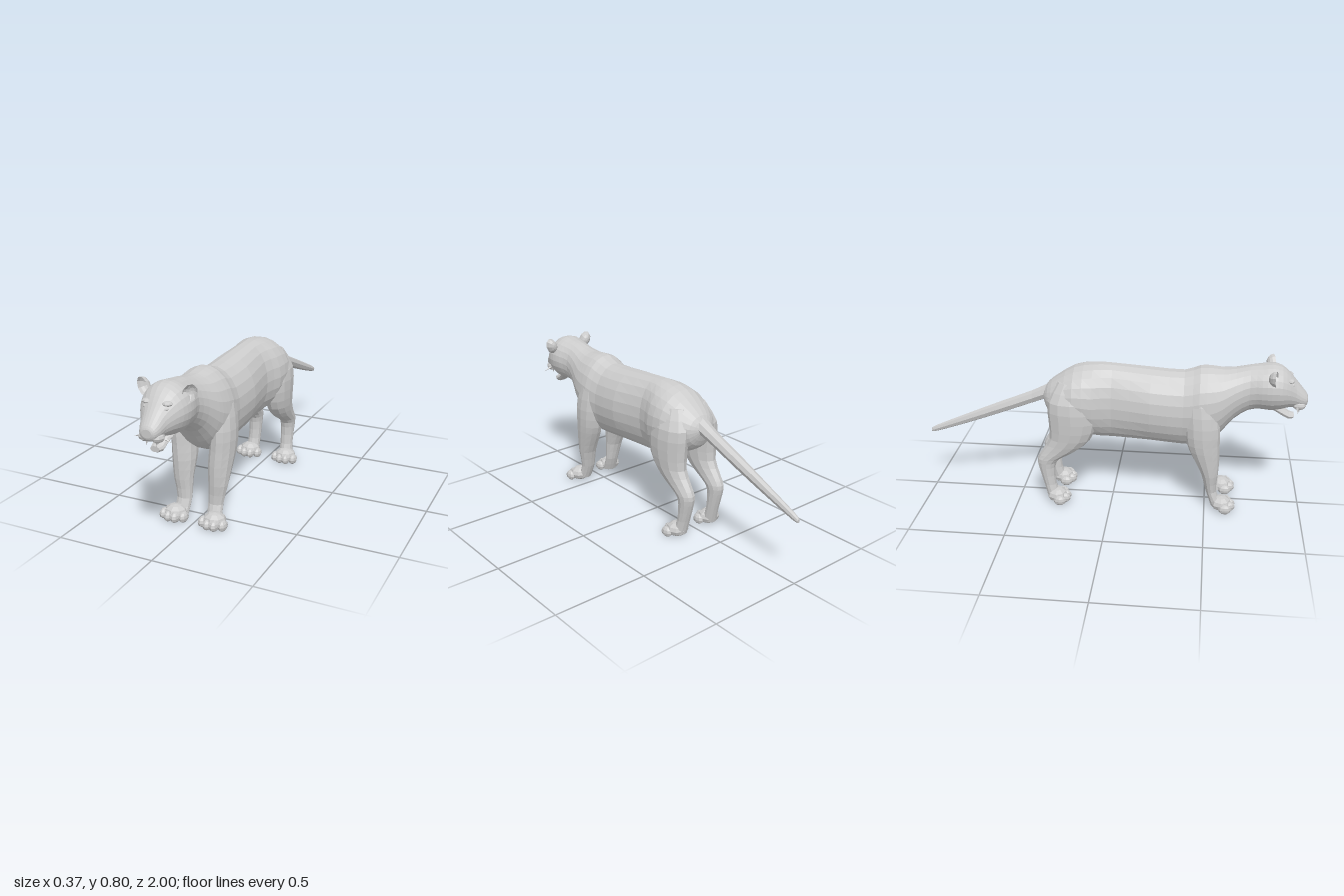
import * as THREE from 'three';

const material = new THREE.MeshStandardMaterial({ color: 0xcccccc, flatShading: true });
const thin = new THREE.MeshStandardMaterial({ color: 0xcccccc, flatShading: true, side: THREE.DoubleSide });

function mesh(name, geometry, mat = material) {
  const m = new THREE.Mesh(geometry, mat);
  m.name = name;
  return m;
}

// Closed skin over elliptical rings, listed in rising order along the axis.
// Each ring: [position, centre x, other centre, half-width x, other half-width]
function loft(rings, axis, sides, steps) {
  const centres = new THREE.CatmullRomCurve3(rings.map(r => new THREE.Vector3(r[0], r[1], r[2])), false, 'catmullrom', 0.5);
  const radii = new THREE.CatmullRomCurve3(rings.map(r => new THREE.Vector3(r[3], r[4], 0)), false, 'catmullrom', 0.5);
  const n = (rings.length - 1) * steps;
  const pos = [], index = [];
  const put = (p, x, v) => (axis === 'z' ? pos.push(x, v, p) : pos.push(x, p, v));
  const flip = axis === 'z' ? 1 : -1;
  for (let i = 0; i <= n; i++) {
    const c = centres.getPoint(i / n), r = radii.getPoint(i / n);
    for (let j = 0; j < sides; j++) {
      const a = (j / sides) * Math.PI * 2;
      put(c.x, c.y + r.x * Math.cos(a), c.z + flip * r.y * Math.sin(a));
    }
  }
  for (let i = 0; i < n; i++) {
    for (let j = 0; j < sides; j++) {
      const k = (j + 1) % sides;
      const a = i * sides + j, b = i * sides + k, c = a + sides, d = b + sides;
      index.push(a, b, d, a, d, c);
    }
  }
  // end caps
  const first = rings[0], last = rings[rings.length - 1], centre = (n + 1) * sides;
  put(first[0], first[1], first[2]);
  put(last[0], last[1], last[2]);
  for (let j = 0; j < sides; j++) {
    const k = (j + 1) % sides;
    index.push(centre, k, j, centre + 1, n * sides + j, n * sides + k);
  }
  const g = new THREE.BufferGeometry();
  g.setAttribute('position', new THREE.Float32BufferAttribute(pos, 3));
  g.setIndex(index);
  const flat = g.toNonIndexed();
  flat.computeVertexNormals();
  return flat;
}

// Faceted ellipsoid, optionally pressed flat on the ground
function blob(x, y, z, rx, ry, rz, grounded = false) {
  const g = new THREE.SphereGeometry(1, 8, 6).scale(rx, ry, rz).translate(x, y, z);
  if (grounded) {
    const p = g.attributes.position;
    for (let i = 0; i < p.count; i++) p.setY(i, Math.max(p.getY(i), 0.004));
    g.computeVertexNormals();
  }
  return g;
}

// Rump to nose: [z, top, bottom, half-width]
const BODY = [
  [-0.365, 0.61, 0.55, 0.04], [-0.34, 0.65, 0.49, 0.085], [-0.29, 0.69, 0.45, 0.125],
  [-0.2, 0.745, 0.41, 0.16], [-0.1, 0.765, 0.365, 0.155], [0, 0.765, 0.355, 0.123],
  [0.2, 0.75, 0.35, 0.147], [0.37, 0.742, 0.335, 0.142], [0.45, 0.77, 0.34, 0.153],
  [0.52, 0.77, 0.37, 0.147], [0.57, 0.765, 0.42, 0.135], [0.63, 0.77, 0.495, 0.112],
  [0.7, 0.785, 0.545, 0.098], [0.76, 0.793, 0.557, 0.113], [0.81, 0.8, 0.553, 0.119],
  [0.86, 0.788, 0.56, 0.11], [0.9, 0.755, 0.57, 0.088], [0.935, 0.715, 0.572, 0.064],
  [0.965, 0.68, 0.57, 0.053], [0.99, 0.65, 0.58, 0.04], [0.998, 0.635, 0.595, 0.025],
];

const TAIL = [
  [-1, 0, 0.334, 0.008, 0.009], [-0.97, 0, 0.346, 0.014, 0.018], [-0.8, 0, 0.412, 0.021, 0.027],
  [-0.6, 0, 0.492, 0.03, 0.033], [-0.43, 0, 0.56, 0.034, 0.035], [-0.34, 0, 0.6, 0.045, 0.042],
  [-0.26, 0, 0.63, 0.05, 0.05],
];

const FRONT_LEG = [
  [0.02, 0.092, 0.565, 0.04, 0.032], [0.1, 0.086, 0.532, 0.04, 0.028], [0.2, 0.095, 0.521, 0.05, 0.044],
  [0.3, 0.098, 0.498, 0.06, 0.07], [0.38, 0.104, 0.48, 0.062, 0.085], [0.48, 0.108, 0.472, 0.06, 0.09],
  [0.6, 0.092, 0.46, 0.058, 0.08], [0.68, 0.07, 0.45, 0.04, 0.05],
];

const HIND_LEG = [
  [0.02, 0.105, -0.305, 0.04, 0.038], [0.1, 0.1, -0.33, 0.035, 0.033], [0.2, 0.1, -0.346, 0.038, 0.045],
  [0.25, 0.1, -0.335, 0.043, 0.06], [0.3, 0.1, -0.278, 0.049, 0.09], [0.37, 0.1, -0.22, 0.06, 0.108],
  [0.47, 0.1, -0.203, 0.069, 0.127], [0.58, 0.095, -0.208, 0.069, 0.125], [0.68, 0.07, -0.2, 0.045, 0.08],
];

function paw(name, s, x, z) {
  const g = new THREE.Group();
  g.name = name;
  g.add(mesh('palm', blob(s * x, 0.038, z, 0.06, 0.04, 0.055, true)));
  for (let i = 0; i < 4; i++) {
    const u = i - 1.5;
    const toeZ = z + 0.043 - 0.01 * u * u;
    g.add(mesh('toe', blob(s * (x + u * 0.036), 0.027, toeZ, 0.022, 0.028, 0.034, true)));
  }
  return g;
}

export function createModel() {
  const model = new THREE.Group();
  model.name = 'bigCat';

  const bodyRings = BODY.map(([z, top, bottom, w]) => [z, 0, (top + bottom) / 2, w, (top - bottom) / 2]);
  model.add(mesh('bodyAndHead', loft(bodyRings, 'z', 22, 2)));
  model.add(mesh('tail', loft(TAIL, 'z', 8, 2)));

  // open lower jaw and nose
  model.add(mesh('lowerJaw', loft([
    [0.82, 0, 0.575, 0.05, 0.018], [0.87, 0, 0.545, 0.036, 0.022],
    [0.91, 0, 0.522, 0.033, 0.02], [0.935, 0, 0.522, 0.024, 0.014],
  ], 'z', 10, 2)));
  model.add(mesh('nose', blob(0, 0.618, 0.98, 0.032, 0.018, 0.018)));

  for (const s of [1, -1]) {
    const side = s > 0 ? 'left' : 'right';
    const mirrored = rings => rings.map(([y, x, ...rest]) => [y, s * x, ...rest]);

    // legs and paws
    model.add(mesh(side + 'FrontLeg', loft(mirrored(FRONT_LEG), 'y', 12, 2)));
    model.add(mesh(side + 'HindLeg', loft(mirrored(HIND_LEG), 'y', 12, 2)));
    model.add(paw(side + 'FrontPaw', s, 0.107, 0.588));
    model.add(paw(side + 'HindPaw', s, 0.11, -0.292));

    // cupped ear, open to the front
    const ear = mesh(side + 'Ear', new THREE.SphereGeometry(1, 9, 4, 0, Math.PI * 2, 0, Math.PI / 2)
      .rotateX(-Math.PI / 2).scale(0.033, 0.047, 0.04), thin);
    ear.position.set(s * 0.118, 0.759, 0.825);
    ear.rotation.set(0, s * 0.25, -s * 0.45);
    model.add(ear);

    // brow, eye, muzzle pad, fang and whisker
    model.add(mesh(side + 'Brow', blob(s * 0.05, 0.728, 0.9, 0.026, 0.012, 0.022)));
    model.add(mesh(side + 'Eye', blob(s * 0.05, 0.707, 0.912, 0.014, 0.009, 0.012)));
    model.add(mesh(side + 'MuzzlePad', blob(s * 0.03, 0.59, 0.955, 0.032, 0.024, 0.036)));
    const fang = mesh(side + 'Fang', new THREE.ConeGeometry(0.007, 0.03, 5).rotateX(Math.PI));
    fang.position.set(s * 0.025, 0.56, 0.958);
    model.add(fang);
    const whisker = mesh(side + 'Whisker', new THREE.ConeGeometry(0.007, 0.05, 4).rotateZ(-s * 1.9));
    whisker.position.set(s * 0.075, 0.578, 0.945);
    model.add(whisker);
  }
  return model;
}
